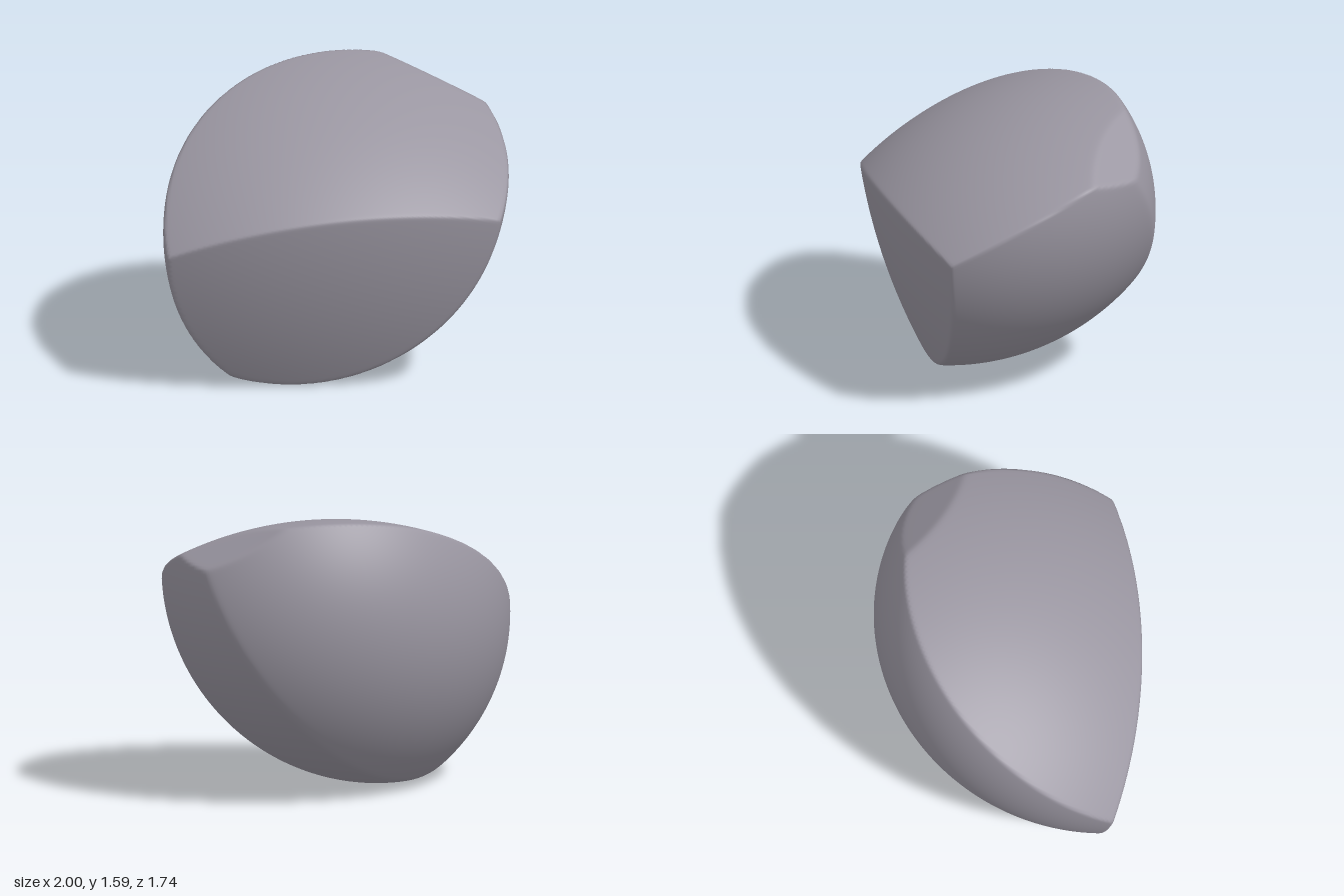
import * as THREE from 'three';

const V = (x, y, z) => new THREE.Vector3(x, y, z);

// The stone is the overlap of four large balls, with one corner cut off flat.
// Both domes are drawn out a little (s) along the stone's long axis.
const AXIS = V(0.76, 0.507, -0.406).normalize();
const BODIES = [
  { c: V(-0.145, 0.93, 0.262), r: 1.122, s: 1.09 },  // back dome
  { c: V(-0.22, 1.197, -0.17), r: 1.165, s: 1.088 }, // lower front dome
  { c: V(0.53, -0.385, -0.54), r: 1.982, s: 1 },     // shallow top
  { c: V(1.73, 1.41, -1.9), r: 3.155, s: 1 },        // shallow front face
];
const CHIP = { n: V(0.587, 0.8, 0.114).normalize(), p: V(0.71, 1.57, -0.26) };
const CORE = V(0, 0.9, 0);
const BEVEL = 0.006;

// Shortens a vector along the long axis, turning a drawn-out ball back into a round one
const relax = (v, s) => v.clone().addScaledVector(AXIS, (1 / s - 1) * v.dot(AXIS));

// Distance from the core to each cutting surface along d, with its normal there
function hits(d) {
  const list = BODIES.map(({ c, r, s }) => {
    const m = relax(CORE.clone().sub(c), s);
    const e = relax(d, s);
    const a = e.lengthSq();
    const b = m.dot(e);
    const t = (-b + Math.sqrt(b * b - a * (m.lengthSq() - r * r))) / a;
    return { t, n: relax(m.addScaledVector(e, t), s).normalize() };
  });
  const slope = CHIP.n.dot(d);
  if (slope > 0.05) {
    list.push({ t: CHIP.p.clone().sub(CORE).dot(CHIP.n) / slope, n: CHIP.n });
  }
  return list;
}

function stoneGeometry() {
  const geo = new THREE.IcosahedronGeometry(1, 70);
  const pos = geo.attributes.position;
  const nor = geo.attributes.normal;
  const d = V(0, 0, 0);
  for (let i = 0; i < pos.count; i++) {
    d.fromBufferAttribute(pos, i).normalize();
    const list = hits(d);
    const near = Math.min(...list.map((h) => h.t));
    // The nearest surface wins, blended narrowly at the edges for a fine bevel
    const n = V(0, 0, 0);
    let sum = 0;
    for (const h of list) {
      const w = Math.exp((near - h.t) / BEVEL);
      sum += w;
      n.addScaledVector(h.n, w);
    }
    n.normalize();
    const p = CORE.clone().addScaledVector(d, near - BEVEL * Math.log(sum));
    pos.setXYZ(i, p.x, p.y, p.z);
    nor.setXYZ(i, n.x, n.y, n.z);
  }
  return geo;
}

export function createModel() {
  const group = new THREE.Group();
  group.name = 'stone';
  const stone = new THREE.Mesh(
    stoneGeometry(),
    new THREE.MeshStandardMaterial({ color: 0x9a96a1 })
  );
  stone.name = 'stoneBody';
  group.add(stone);
  return group;
}
